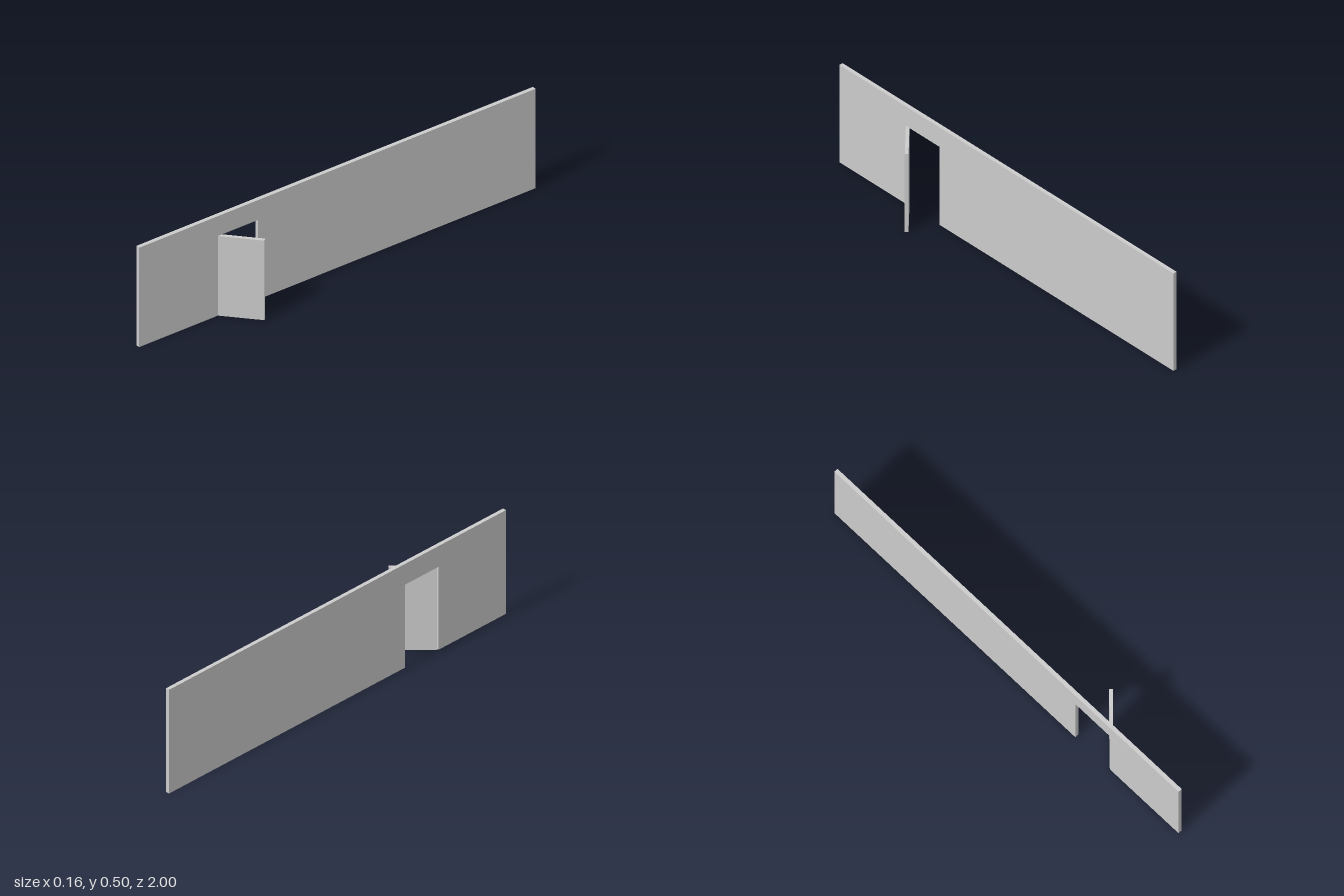
import * as THREE from 'three';

const WALL = { length: 2, height: 0.5, thickness: 0.018, x: -0.069 };
const DOOR = { width: 0.2, height: 0.4, thickness: 0.0155, hingeZ: 0.6, angle: Math.PI / 4 };

export function createModel() {
  const model = new THREE.Group();
  const material = new THREE.MeshStandardMaterial({ color: 0xcccccc });

  // Wall: side outline (z, y) with a doorway notch, extruded through its thickness
  const half = WALL.length / 2;
  const outline = new THREE.Shape([
    [-half, 0], [DOOR.hingeZ - DOOR.width, 0],
    [DOOR.hingeZ - DOOR.width, DOOR.height], [DOOR.hingeZ, DOOR.height],
    [DOOR.hingeZ, 0], [half, 0], [half, WALL.height], [-half, WALL.height],
  ].map(([z, y]) => new THREE.Vector2(z, y)));
  const wallGeometry = new THREE.ExtrudeGeometry(outline, { depth: WALL.thickness, bevelEnabled: false });
  wallGeometry.translate(0, 0, -WALL.thickness / 2).rotateY(-Math.PI / 2);
  const wall = new THREE.Mesh(wallGeometry, material);
  wall.name = 'wall';
  wall.position.x = WALL.x;
  model.add(wall);

  // Door leaf: origin on the hinge line, swung half open
  const doorGeometry = new THREE.BoxGeometry(DOOR.thickness, DOOR.height, DOOR.width);
  doorGeometry.translate(0, DOOR.height / 2, -DOOR.width / 2);
  const door = new THREE.Mesh(doorGeometry, material);
  door.name = 'door';
  door.position.set(WALL.x, 0, DOOR.hingeZ);
  door.rotation.y = -DOOR.angle;
  model.add(door);

  return model;
}
